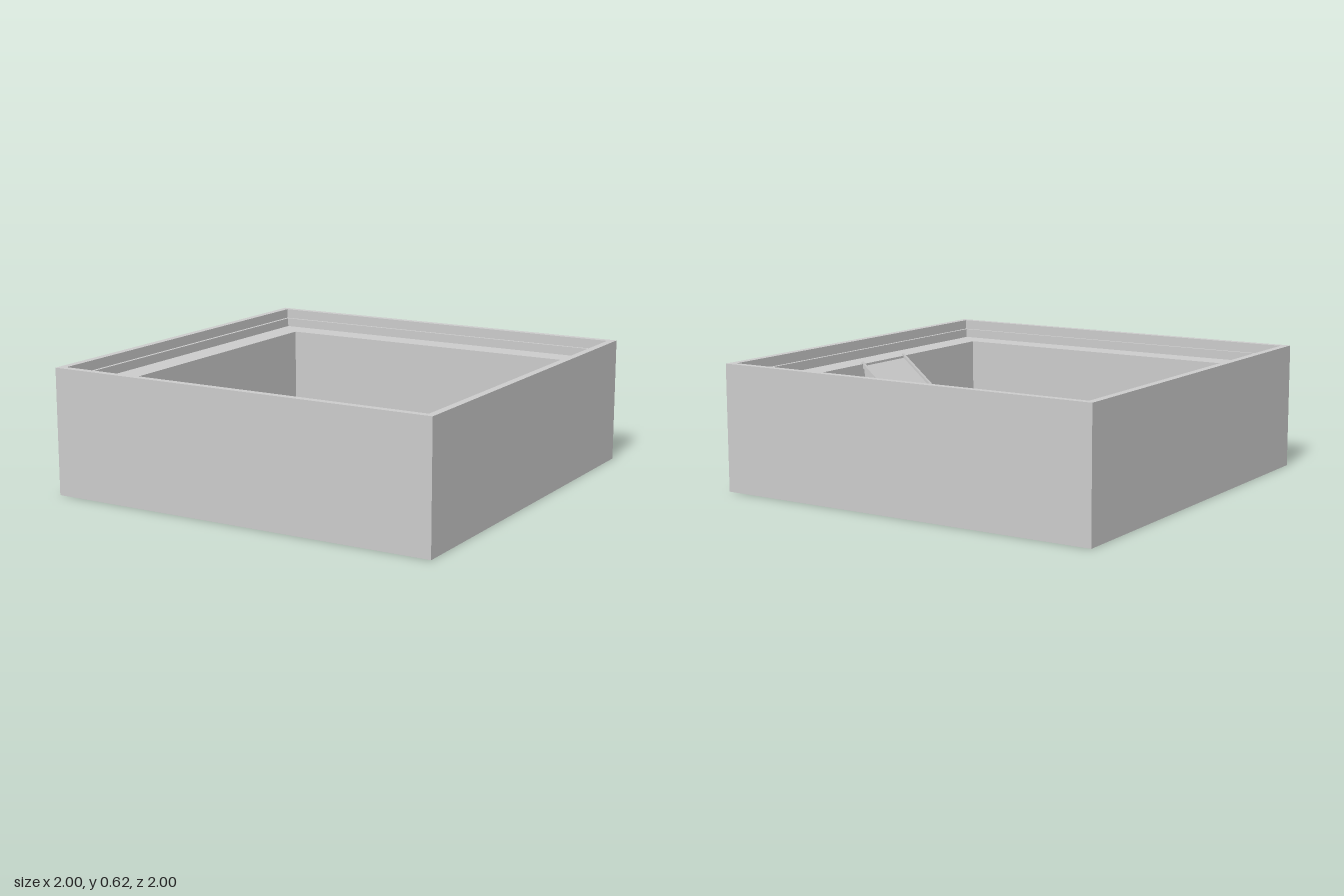
import * as THREE from 'three';

const material = new THREE.MeshStandardMaterial({
  color: 0xcccccc, flatShading: true, side: THREE.DoubleSide,
});

function addMesh(group, name, geometry) {
  const mesh = new THREE.Mesh(geometry, material);
  mesh.name = name;
  group.add(mesh);
  return mesh;
}

// Sweeps a [half width, height] profile around a square.
function squareSweep(profile) {
  const points = profile.map(([r, y]) => new THREE.Vector2(r * Math.SQRT2, y));
  const geometry = new THREE.LatheGeometry(points, 4, Math.PI / 4).toNonIndexed();
  geometry.computeVertexNormals();
  return geometry;
}

// Extrudes an x/y outline along z, centred on z.
function slab(outline, width, z) {
  const shape = new THREE.Shape(outline.map(([x, y]) => new THREE.Vector2(x, y)));
  const geometry = new THREE.ExtrudeGeometry(shape, { depth: width, bevelEnabled: false });
  return geometry.translate(0, 0, z - width / 2);
}

export function createModel() {
  const pool = new THREE.Group();
  pool.name = 'pool';

  // Thin outer wall, open underneath
  addMesh(pool, 'outerWall', squareSweep([[1, 0], [1, 0.62]]));

  // Stepped rim leading down to the wide ledge
  addMesh(pool, 'rim', squareSweep([
    [1, 0.62], [0.963, 0.62], [0.963, 0.572], [0.947, 0.572], [0.947, 0.528],
  ]));
  addMesh(pool, 'ledge', squareSweep([[0.947, 0.528], [0.815, 0.528]]));

  // Sunken basin
  addMesh(pool, 'basinWalls', squareSweep([[0.815, 0.528], [0.815, 0.005]]));
  const floor = new THREE.PlaneGeometry(1.63, 1.63).rotateX(-Math.PI / 2).translate(0, 0.005, 0);
  addMesh(pool, 'basinFloor', floor);

  // Solid sloping ramp against the left wall
  const ramp = new THREE.Group();
  ramp.name = 'ramp';
  pool.add(ramp);
  addMesh(ramp, 'rampBody', slab([[0.195, 0.005], [0.825, 0.005], [0.825, 0.525]], 0.34, 0));

  // Slim raised edge on each side of the ramp
  for (const side of [-1, 1]) {
    addMesh(ramp, side > 0 ? 'frontRampEdge' : 'backRampEdge',
      slab([[0.185, 0.005], [0.205, 0.005], [0.825, 0.515], [0.825, 0.538], [0.185, 0.012]],
        0.018, side * 0.174));
  }
  return pool;
}
